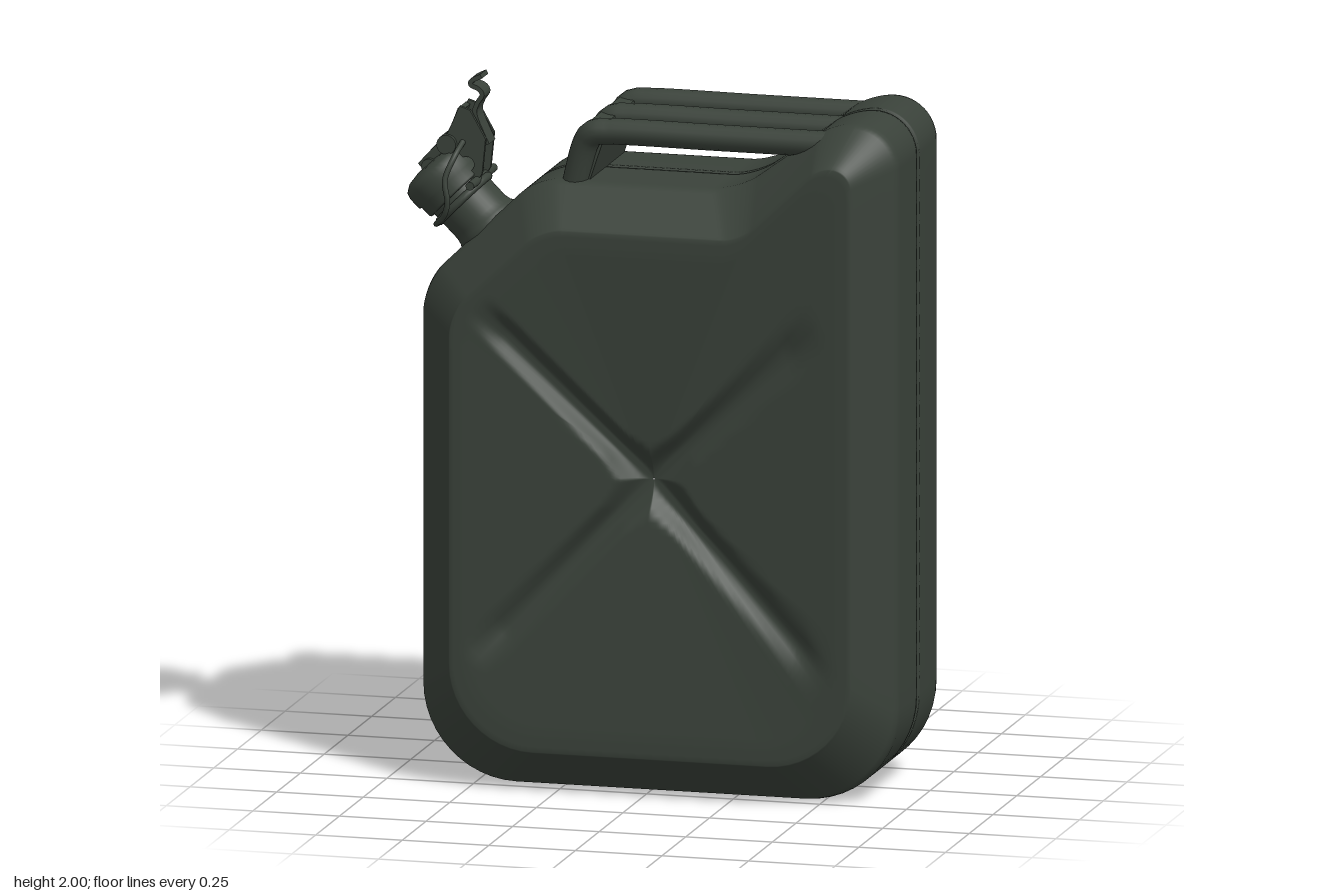
import * as THREE from 'three';

const paint = new THREE.MeshStandardMaterial({ color: 0x3a423a });
paint.name = 'darkOliveGreen';

const V2 = (x, y) => new THREE.Vector2(x, y);
const V3 = (x, y, z) => new THREE.Vector3(x, y, z);

function add(parent, name, geometry) {
  const mesh = new THREE.Mesh(geometry, paint);
  mesh.name = name;
  parent.add(mesh);
  return mesh;
}

// Closed outline from corners [x, y, round], evenly subdivided so that two outlines match point for point
function outline(corners, perCorner = 12, perEdge = 24) {
  const n = corners.length;
  const arcs = corners.map(([x, y, r], i) => {
    const p = V2(x, y);
    const toward = ([cx, cy], d) => p.clone().add(V2(cx, cy).sub(p).setLength(d));
    const prev = corners[(i + n - 1) % n], next = corners[(i + 1) % n];
    return new THREE.CubicBezierCurve(toward(prev, r), toward(prev, r * 0.45),
      toward(next, r * 0.45), toward(next, r)).getPoints(perCorner);
  });
  const pts = [];
  arcs.forEach((arc, i) => {
    pts.push(...arc);
    const a = arc[perCorner], b = arcs[(i + 1) % n][0];
    for (let k = 1; k < perEdge; k++) pts.push(a.clone().lerp(b, k / perEdge));
  });
  return pts;
}

// Skin a list of closed rings; side = -1 builds the mirror image in z
function loft(rings, side = 1) {
  const n = rings[0].length, pos = [], idx = [];
  rings.forEach(r => r.forEach(p => pos.push(p.x, p.y, p.z * side)));
  for (let i = 0; i < rings.length - 1; i++) for (let j = 0; j < n; j++) {
    const a = i * n + j, b = i * n + (j + 1) % n, c = b + n, d = a + n;
    if (side > 0) idx.push(a, b, c, a, c, d);
    else idx.push(a, c, b, a, d, c);
  }
  const g = new THREE.BufferGeometry();
  g.setAttribute('position', new THREE.Float32BufferAttribute(pos, 3));
  g.setIndex(idx);
  g.computeVertexNormals();
  return g;
}

// Bent flat strip following an x-y path, spanning a width in z
function strip(points, thick, width, zMid) {
  const path = new THREE.SplineCurve(points.map(p => V2(...p)));
  const left = [], right = [];
  for (let i = 0; i <= 30; i++) {
    const p = path.getPoint(i / 30), t = path.getTangent(i / 30);
    const o = V2(-t.y, t.x).multiplyScalar(thick / 2);
    left.push(p.clone().add(o));
    right.unshift(p.clone().sub(o));
  }
  const g = new THREE.ExtrudeGeometry(new THREE.Shape([...left, ...right]), { depth: width, bevelEnabled: false });
  return g.translate(0, 0, zMid - width / 2);
}

function tube(points, radius, segments = 40) {
  return new THREE.TubeGeometry(new THREE.CatmullRomCurve3(points.map(p => V3(...p)), false, 'centripetal'), segments, radius, 14);
}

function buildBody(root) {
  const outer = outline([[-0.66, 0, 0.27], [0.715, 0, 0.27], [0.715, 1.935, 0.12], [0.53, 1.935, 0.062],
    [0.25, 1.728, 0.07], [-0.33, 1.728, 0.07], [-0.66, 1.41, 0.08]]);
  const inner = outline([[-0.545, 0.12, 0.24], [0.61, 0.12, 0.24], [0.61, 1.83, 0.055], [0.52, 1.83, 0.03],
    [0.29, 1.61, 0.05], [-0.28, 1.61, 0.06], [-0.545, 1.36, 0.07]]);
  const n = outer.length;
  const inset = outer.map((p, j) => {
    const t = outer[(j + 1) % n].clone().sub(outer[(j + n - 1) % n]).normalize();
    return p.clone().add(V2(-t.y, t.x).multiplyScalar(0.02));
  });
  const flat = (pts, z) => pts.map(p => V3(p.x, p.y, z));
  const mix = (t, z) => outer.map((p, j) => { const q = p.clone().lerp(inner[j], t); return V3(q.x, q.y, z); });

  // Pressed panel: shallow funnel with four grooves meeting at the centre
  const mid = V2(0.02, 0.9);
  const arms = [[-0.47, 1.38], [0.51, 1.38], [-0.48, 0.37], [0.54, 0.37]].map(a => V2(...a).sub(mid));
  const groove = (x, y) => Math.max(...arms.map(a => {
    const p = V2(x, y).sub(mid);
    const t = THREE.MathUtils.clamp(p.dot(a) / a.lengthSq(), 0, 1);
    const d = p.distanceTo(a.clone().multiplyScalar(t));
    const width = 0.055 + 0.03 * Math.max(0, 1 - t * 5);
    return (0.022 + 0.025 * (1 - t)) * Math.min(1, (1 - t) * 6) * (1 - THREE.MathUtils.smoothstep(d, 0.008, width));
  }));
  const panel = s => inner.map(p => {
    const q = mid.clone().lerp(p, s);
    return V3(q.x, q.y, 0.34 - 0.05 * Math.max(0, 0.93 - s) - groove(q.x, q.y));
  });

  const rings = [flat(inset, 0.01), flat(outer, 0.01), flat(outer, 0.02), flat(outer, 0.19),
    mix(0.03, 0.207), mix(0.1, 0.222), mix(0.92, 0.328), mix(0.97, 0.336), panel(1), panel(0.98)];
  for (let i = 1; i <= 40; i++) rings.push(panel(Math.max(0.003, 0.98 * (1 - i / 40))));
  add(root, 'frontShell', loft(rings, 1));
  add(root, 'backShell', loft(rings, -1));
  add(root, 'seam', loft([flat(inset, -0.011), flat(inset, 0.011)]));
}

function buildHandles(root) {
  const handles = new THREE.Group();
  handles.name = 'handles';
  for (const z of [-0.2, 0, 0.2]) {
    add(handles, 'handleBar', tube([[0.53, 1.873, z], [0.2, 1.873, z], [-0.12, 1.873, z],
      [-0.165, 1.868, z], [-0.19, 1.84, z * 0.95], [-0.235, 1.69, z * 0.84]], 0.037, 50));
  }
  // Sloping web that joins the three legs
  const web = new THREE.Shape([V2(-0.265, 1.69), V2(-0.222, 1.85), V2(-0.195, 1.885), V2(-0.15, 1.88), V2(-0.145, 1.84), V2(-0.195, 1.69)]);
  add(handles, 'handleWeb', new THREE.ExtrudeGeometry(web, { depth: 0.36, bevelEnabled: false }).translate(0, 0, -0.18));
  root.add(handles);
}

function buildSpout(root) {
  const z = 0.11;
  // Neck and cap, turned around the slanted axis
  const axis = new THREE.Group();
  axis.name = 'spout';
  axis.position.set(-0.495, 1.565, z);
  axis.rotation.z = Math.PI / 4;
  const turned = pts => new THREE.LatheGeometry(pts.map(p => V2(...p)), 40);
  add(axis, 'neck', turned([[0.105, -0.1], [0.102, 0], [0.094, 0.012], [0.09, 0.03], [0.09, 0.15]]));
  add(axis, 'cap', turned([[0.085, 0.125], [0.1, 0.125], [0.104, 0.13], [0.104, 0.16], [0.111, 0.165], [0.111, 0.2],
    [0.106, 0.218], [0.085, 0.232], [0.05, 0.238], [0.0001, 0.24]]));
  // Wire bail that hooks round the neck
  for (const s of [-1, 1]) {
    add(axis, 'bailWire', tube([[0.13, 0.215, s * 0.05], [0.1, 0.2, s * 0.1], [0.04, 0.17, s * 0.125],
      [0, 0.12, s * 0.125], [-0.04, 0.1, s * 0.11], [-0.085, 0.1, s * 0.07], [-0.105, 0.1, 0]], 0.008));
  }
  const collar = add(axis, 'neckCollar', new THREE.TorusGeometry(0.092, 0.012, 10, 40));
  collar.rotation.x = Math.PI / 2;
  collar.position.y = 0.1;
  root.add(axis);

  // Locking lever: side cheeks, top strap with curled thumb tab, and pivot pins
  const lever = new THREE.Group();
  lever.name = 'lockingLever';
  const cheek = new THREE.Shape([V2(-0.685, 1.74), V2(-0.6, 1.83), V2(-0.565, 1.91), V2(-0.535, 1.9),
    V2(-0.49, 1.82), V2(-0.5, 1.72), V2(-0.54, 1.66), V2(-0.6, 1.7), V2(-0.65, 1.7)]);
  const hole = new THREE.Path();
  hole.absarc(-0.545, 1.745, 0.022, 0, Math.PI * 2, true);
  cheek.holes.push(hole);
  for (const s of [-1, 1]) {
    add(lever, 'leverCheek', new THREE.ExtrudeGeometry(cheek, { depth: 0.012, bevelEnabled: false }).translate(0, 0, z + s * 0.045 - 0.006));
  }
  add(lever, 'leverStrap', strip([[-0.68, 1.735], [-0.635, 1.785], [-0.595, 1.83], [-0.565, 1.9]], 0.014, 0.09, z));
  add(lever, 'thumbTab', strip([[-0.49, 1.8], [-0.525, 1.88], [-0.52, 1.915], [-0.505, 1.94], [-0.515, 1.957],
    [-0.537, 1.967], [-0.535, 1.98], [-0.508, 1.994]], 0.013, 0.065, z));
  for (const [x, y, r, len] of [[-0.6, 1.8, 0.028, 0.13], [-0.65, 1.735, 0.022, 0.13], [-0.515, 1.7, 0.012, 0.25]]) {
    const pin = add(lever, 'pivotPin', new THREE.CylinderGeometry(r, r, len, 18));
    pin.rotation.x = Math.PI / 2;
    pin.position.set(x, y, z);
  }
  root.add(lever);
}

export function createModel() {
  const root = new THREE.Group();
  root.name = 'fuelCan';
  buildBody(root);
  buildHandles(root);
  buildSpout(root);
  return root;
}
